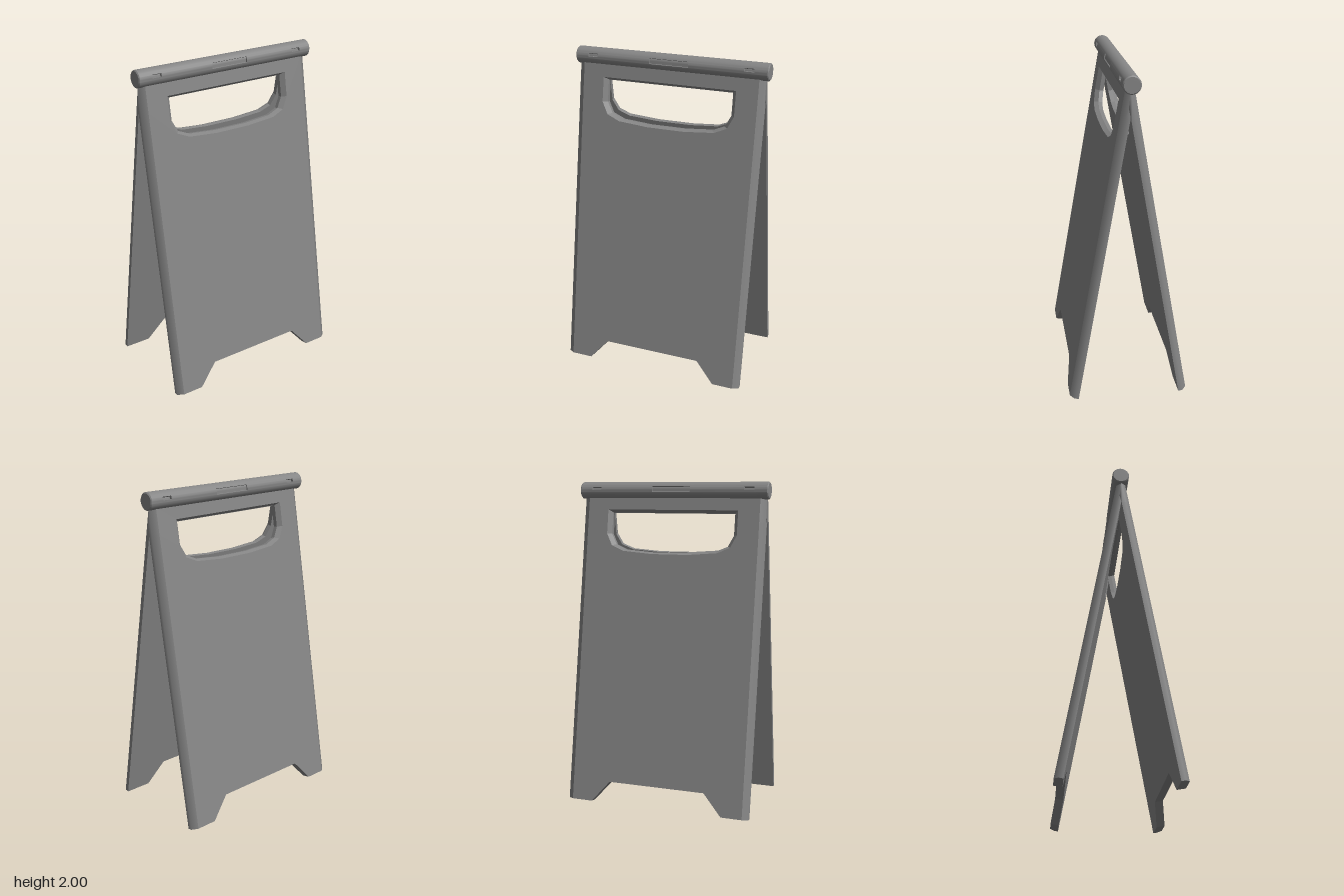
import * as THREE from 'three';
import { toCreasedNormals, mergeVertices } from 'three/addons/utils/BufferGeometryUtils.js';

const grey = new THREE.MeshStandardMaterial({ color: 0x858585 });
const TILT = THREE.MathUtils.degToRad(10);
const THICK = 0.052;

// Closed outline from its right half, mirrored to the left
function mirrored(half) {
  const left = half.map(([x, y]) => [-x, y]).reverse();
  return [...half, ...left].map(([x, y]) => new THREE.Vector2(x, y));
}

// Board with two feet, a grip hole, and chamfers on the outer face
function panelGeometry() {
  const shape = new THREE.Shape(mirrored([
    [0.31, 0.133], [0.425, 0], [0.592, 0], [0.5925, 1.78], [0.592, 1.93],
  ]));
  shape.holes.push(new THREE.Path(mirrored([
    [0.11, 1.588], [0.29, 1.602], [0.365, 1.633], [0.4, 1.7], [0.4, 1.836],
  ])));
  const extruded = new THREE.ExtrudeGeometry(shape, { depth: THICK, steps: 2, bevelEnabled: false });
  const p = extruded.attributes.position;
  for (let i = 0; i < p.count; i++) {
    const x = p.getX(i), y = p.getY(i), z = p.getZ(i);
    const outer = z > THICK * 0.9, inner = z < THICK * 0.1;
    const atSide = Math.abs(x) > 0.57;
    // Side chamfer; the inner top corners are cut too, so the boards interlock
    if (atSide && outer) p.setX(i, Math.sign(x) * (Math.abs(x) - 0.035));
    else if (atSide && inner && y > 1.9) p.setX(i, Math.sign(x) * 0.557);
    else if (outer && y > 1.4 && y < 1.9 && !atSide) {
      p.setXY(i, x * 1.06, 1.712 + (y - 1.712) * 1.11); // grip chamfer
    }
  }
  const geo = toCreasedNormals(extruded, 0.3);

  // Shade chamfer and side edge as one soft rounding
  const q = geo.attributes.position, n = geo.attributes.normal;
  for (let i = 0; i < q.count; i++) {
    const middle = Math.abs(q.getZ(i) - THICK / 2) < 0.001;
    if (middle && Math.abs(q.getX(i)) > 0.57 && Math.abs(n.getY(i)) < 0.5) {
      n.setXYZ(i, Math.sign(q.getX(i)) * 0.89, 0, 0.456);
    }
  }
  return geo;
}

// Rod along x with shallow slots sunk into its front and back
function rodGeometry() {
  const R = 0.052, E = 0.0005, deg = Math.PI / 180;
  const slots = [
    { x: 0, half: 0.123, a0: -8, a1: 30, depth: 0.006 },
    { x: -0.495, half: 0.03, a0: 4, a1: 26, depth: 0.015 },
    { x: 0.495, half: 0.03, a0: 4, a1: 26, depth: 0.015 },
  ];
  const xs = [-0.61, -0.6095, -0.604, 0.604, 0.6095, 0.61];
  const angles = [];
  for (let i = 0; i < 32; i++) angles.push(-90 + i * 11.25);
  for (const s of slots) {
    for (const x of [s.x - s.half, s.x + s.half]) xs.push(x - E, x + E);
  }
  for (const { a0, a1 } of slots.slice(0, 2)) {
    for (const a of [a0, a1, 180 - a0, 180 - a1]) angles.push(a - 0.4, a + 0.4);
  }
  xs.sort((a, b) => a - b);
  angles.sort((a, b) => a - b);

  const radius = (x, a) => {
    if (Math.abs(x) > 0.6097) return 0;
    if (Math.abs(x) > 0.605) return R - 0.006;
    const f = a > 90 ? 180 - a : a;
    const slot = slots.find((s) => Math.abs(x - s.x) < s.half && f > s.a0 && f < s.a1);
    return R - (slot ? slot.depth : 0);
  };
  const pos = [], index = [], n = angles.length;
  xs.forEach((x, i) => angles.forEach((a, j) => {
    const r = radius(x, a);
    pos.push(x, r * Math.sin(a * deg), r * Math.cos(a * deg));
    if (i === xs.length - 1) return;
    const k = (j + 1) % n;
    const A = i * n + j, B = A + n, C = (i + 1) * n + k, D = i * n + k;
    index.push(A, B, C, A, C, D);
  }));
  const geo = new THREE.BufferGeometry();
  geo.setAttribute('position', new THREE.Float32BufferAttribute(pos, 3));
  geo.setIndex(index);
  return toCreasedNormals(mergeVertices(geo, 1e-5), 0.5);
}

export function createModel() {
  const model = new THREE.Group();
  model.name = 'foldingFloorSign';

  // Two leaning boards, back to back
  const panel = panelGeometry();
  for (const [name, turn, shift] of [['frontPanel', 0, -0.005], ['backPanel', Math.PI, -0.001]]) {
    const side = new THREE.Group();
    side.name = name;
    side.rotation.y = turn;
    side.position.x = shift;
    const board = new THREE.Mesh(panel, grey);
    board.name = name + 'Board';
    board.rotation.x = -TILT;
    board.position.z = 0.311;
    side.add(board);
    model.add(side);
  }

  // Hinge rod across the top
  const rod = new THREE.Mesh(rodGeometry(), grey);
  rod.name = 'hingeRod';
  rod.position.set(0, 1.948, -0.004);
  model.add(rod);
  return model;
}
